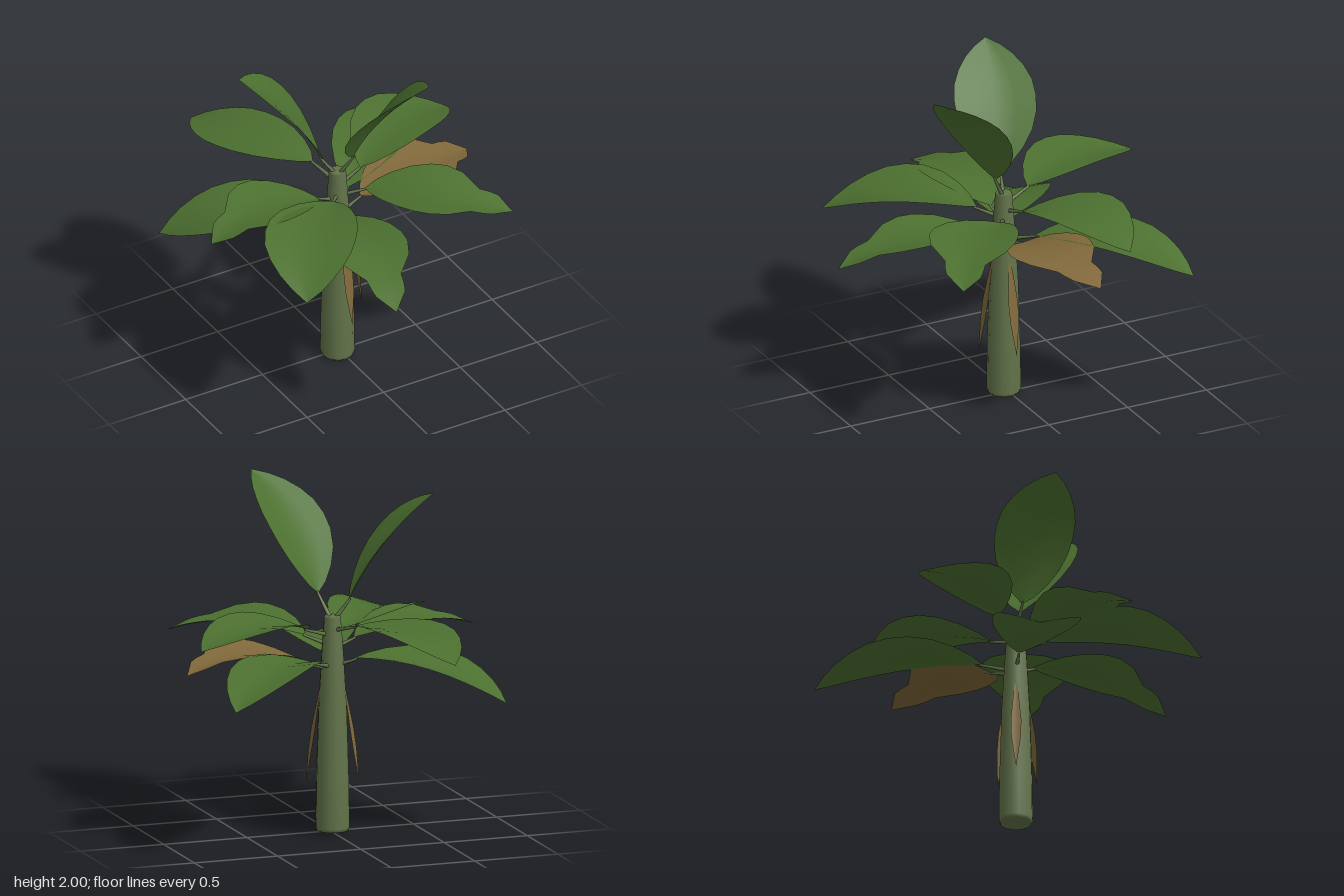
import * as THREE from 'three';

const leafGreen = new THREE.MeshStandardMaterial({ color: 0x4c7030, side: THREE.DoubleSide });
leafGreen.name = 'leafGreen';
const driedBrown = new THREE.MeshStandardMaterial({ color: 0x80683a, side: THREE.DoubleSide });
driedBrown.name = 'driedBrown';
const stalkGreen = new THREE.MeshStandardMaterial({ color: 0x62734a });
stalkGreen.name = 'stalkGreen';

const AXIS = new THREE.Vector3(-0.02, 0, 0.018);

// Blade outlines: [distance along midrib, relative half width]
const WHOLE = [[0, 0], [0.06, 0.3], [0.15, 0.58], [0.27, 0.83], [0.4, 0.97], [0.52, 1],
  [0.64, 0.95], [0.75, 0.8], [0.85, 0.58], [0.93, 0.32], [1, 0]];
const TORN = [[0, 0], [0.06, 0.3], [0.15, 0.58], [0.27, 0.83], [0.4, 0.98], [0.5, 1],
  [0.62, 0.87], [0.75, 0.47], [0.82, 0.45], [0.88, 0.4], [1, 0]];
const STRIP = [[0, 0.25], [0.2, 0.6], [0.45, 1], [0.65, 0.9], [0.85, 0.4], [1, 0]];

// Arched blade with a V-shaped cross-section, swept from base to tip
function bladeGeometry(base, tip, { outline, half, arch = 0, bend = 0, fold = 0.2 }) {
  const along = tip.clone().sub(base);
  const dir = along.clone().normalize();
  const left = new THREE.Vector3(dir.z, 0, -dir.x).normalize();
  const up = dir.clone().cross(left);
  const columns = [-1, -0.5, 0, 0.5, 1];
  const n = columns.length;
  const positions = [], index = [];
  outline.forEach(([t, w], i) => {
    const bow = 4 * t * (1 - t);
    for (const u of columns) {
      const p = base.clone().addScaledVector(along, t)
        .addScaledVector(up, arch * bow + fold * Math.abs(u) * w * half)
        .addScaledVector(left, bend * bow + u * w * half);
      positions.push(p.x, p.y, p.z);
    }
    if (i === 0) return;
    for (let j = 0; j < n - 1; j++) {
      const a = (i - 1) * n + j, c = a + n;
      index.push(a, c, a + 1, a + 1, c, c + 1);
    }
  });
  const g = new THREE.BufferGeometry();
  g.setAttribute('position', new THREE.Float32BufferAttribute(positions, 3));
  g.setIndex(index);
  g.computeVertexNormals();
  return g;
}

// Tapered stalk between two points
function stalk(from, to) {
  const d = to.clone().sub(from);
  const mesh = new THREE.Mesh(new THREE.CylinderGeometry(0.007, 0.015, d.length(), 6), stalkGreen);
  mesh.position.copy(from).addScaledVector(d, 0.5);
  mesh.quaternion.setFromUnitVectors(new THREE.Vector3(0, 1, 0), d.normalize());
  mesh.name = 'leafStalk';
  return mesh;
}

// Crown leaves: base, tip, half width, arch, sideways bend
const LEAVES = [
  { base: [-0.075, 1.21, -0.16], tip: [-0.39, 1.135, -0.99], half: 0.22, arch: 0.05, bend: 0.06 },
  { base: [0.118, 1.0, -0.105], tip: [0.84, 0.905, -0.745], half: 0.225, arch: 0.1, bend: 0 },
  { base: [0.145, 1.18, -0.015], tip: [0.89, 1.17, -0.315], half: 0.24, arch: 0.08, bend: 0.05 },
  { base: [0.145, 0.985, -0.015], tip: [0.905, 0.99, -0.12], half: 0.25, arch: 0.07, bend: -0.06, torn: true, dry: true },
  { base: [0.11, 1.12, 0.1], tip: [0.745, 1.075, 0.67], half: 0.25, arch: 0.06, bend: -0.06, torn: true },
  { base: [-0.04, 0.99, 0.12], tip: [-0.195, 0.89, 0.98], half: 0.22, arch: 0.08, bend: 0, torn: true },
  { base: [-0.118, 1.13, 0.137], tip: [-0.69, 1.03, 0.825], half: 0.26, arch: 0.08, bend: -0.05 },
  { base: [-0.15, 1.1, 0.03], tip: [-0.91, 1.1, 0.13], half: 0.23, arch: 0.07, bend: -0.02, torn: true },
  { base: [-0.125, 1.0, -0.05], tip: [-0.868, 0.78, -0.525], half: 0.25, arch: 0.07, bend: 0.04 },
  { base: [0.035, 1.355, 0.1], tip: [0.277, 2.0, 0.537], half: 0.235, arch: 0.045, bend: -0.03 },
  { base: [-0.108, 1.325, -0.008], tip: [-0.567, 1.94, -0.15], half: 0.235, arch: 0.045, bend: 0 },
];

export function createModel() {
  const model = new THREE.Group();
  model.name = 'broadLeafPlant';

  // Trunk, tapering upward
  const profile = [[0, 0], [0.09, 0], [0.098, 0.02], [0.094, 0.3], [0.082, 0.7], [0.065, 1.0], [0.048, 1.232], [0.042, 1.24], [0, 1.24]]
    .map(([r, y]) => new THREE.Vector2(r, y));
  const trunk = new THREE.Mesh(new THREE.LatheGeometry(profile, 12), stalkGreen);
  trunk.position.copy(AXIS);
  trunk.name = 'trunk';
  model.add(trunk);

  // Crown of leaves with their stalks
  for (const leaf of LEAVES) {
    const base = new THREE.Vector3(...leaf.base);
    const tip = new THREE.Vector3(...leaf.tip);
    const upright = base.y > 1.3;
    const group = new THREE.Group();
    group.name = upright ? 'uprightLeaf' : 'spreadingLeaf';
    const blade = new THREE.Mesh(
      bladeGeometry(base, tip, { ...leaf, outline: leaf.torn ? TORN : WHOLE }),
      leaf.dry ? driedBrown : leafGreen);
    blade.name = leaf.dry ? 'driedBlade' : 'blade';
    const root = AXIS.clone().setY(upright ? 1.2 : base.y - 0.055);
    group.add(blade, stalk(root, base.clone().lerp(tip, 0.02)));
    model.add(group);
  }

  // Withered strips hanging down the trunk
  for (const [dx, dz] of [[0.02, 1], [1, 0], [-0.77, -0.64]]) {
    const out = new THREE.Vector3(dx, 0, dz).normalize();
    const top = AXIS.clone().addScaledVector(out, 0.07).setY(0.84);
    const tip = AXIS.clone().addScaledVector(out, 0.16).setY(0.28);
    const strip = new THREE.Mesh(
      bladeGeometry(top, tip, { outline: STRIP, half: 0.03, arch: 0.004, fold: 0.1 }), driedBrown);
    strip.name = 'hangingDriedLeaf';
    model.add(strip);
  }
  return model;
}
